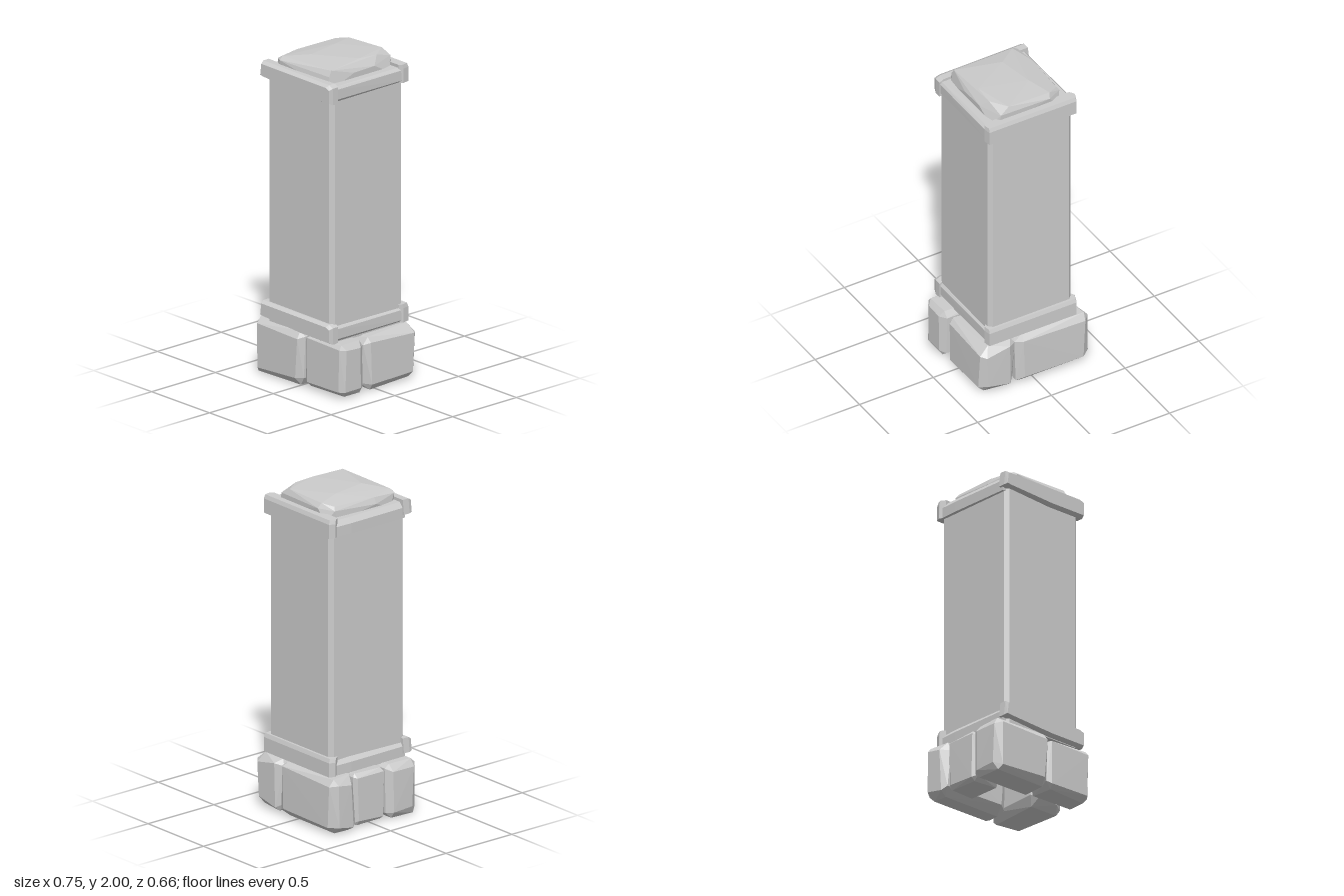
import * as THREE from 'three';
import { ConvexGeometry } from 'three/addons/geometries/ConvexGeometry.js';

const material = new THREE.MeshStandardMaterial({ color: 0xcccccc, flatShading: true });

function seeded(seed) {
  let s = seed * 7919 + 13;
  return () => (s = (s * 16807) % 2147483647) / 2147483647;
}

function hull(name, points) {
  const mesh = new THREE.Mesh(new ConvexGeometry(points.map((p) => new THREE.Vector3(...p))), material);
  mesh.name = name;
  return mesh;
}

// Rough stone: a box whose corners are cut unevenly, three points per corner
function stone(name, min, max, cut, seed) {
  const rnd = seeded(seed);
  const points = [];
  for (let corner = 0; corner < 8; corner++) {
    for (let flat = 0; flat < 3; flat++) {
      points.push([0, 1, 2].map((axis) => {
        const high = (corner >> axis) & 1;
        const inset = axis === flat ? cut * 0.12 * rnd() : cut * (0.55 + 0.75 * rnd());
        return high ? max[axis] - inset : min[axis] + inset;
      }));
    }
  }
  return hull(name, points);
}

// Four chipped slabs framing the shaft; y = 0 is the underside of the frame
function slabFrame(name, y) {
  const group = new THREE.Group();
  group.name = name;
  // Front slab: outline with a slanting underside, bevelled toward the face
  const outline = [[-0.31, 0.035], [-0.3, 0.125], [0.27, 0.12], [0.3, 0.105], [0.3, 0.004], [0.05, 0.005], [-0.28, 0.03]];
  const front = [];
  for (const [x, h] of outline) {
    front.push([x, h, 0.262], [x, h, 0.305]);
    front.push([x * 0.975, 0.06 + (h - 0.06) * 0.78, 0.328]);
  }
  group.add(hull('frontSlab', front));
  // Back slab with blunt pointed ends
  const back = [];
  for (const [x, z] of [[-0.31, -0.26], [-0.295, -0.295], [0.295, -0.293], [0.302, -0.25], [0.285, -0.232], [-0.29, -0.23]]) {
    back.push([x, 0.012, z], [x * 0.99, 0.124, z * 0.97], [x, 0.1, z]);
  }
  group.add(hull('backSlab', back));
  // Side slabs
  group.add(stone('rightSlab', [0.2, 0.01, -0.26], [0.294, 0.105, 0.29], 0.014, 5));
  const side = [];
  for (const [z, out] of [[-0.24, 0.3], [-0.13, 0.303], [0.1, 0.285], [0.28, 0.297]]) {
    side.push([-out, 0.012, z], [-out, 0.075, z], [-out + 0.025, 0.106, z], [-0.2, 0.106, z], [-0.2, 0.012, z]);
  }
  group.add(hull('leftSlab', side));
  group.position.y = y;
  return group;
}

export function createModel() {
  const model = new THREE.Group();
  model.name = 'stonePillar';

  // Base blocks, open in the middle underneath
  const base = new THREE.Group();
  base.name = 'base';
  const blocks = [
    ['frontLeftBlock', [-0.374, 0.005, 0.09], [0.036, 0.345, 0.325], 0.04, 3],
    ['frontRightBlock', [0.042, 0.015, 0.108], [0.374, 0.338, 0.302], 0.035, 8],
    ['backRightBlock', [0.115, 0.005, -0.32], [0.36, 0.338, 0.092], 0.05, 11],
    ['backLeftBlock', [-0.377, 0, -0.332], [0.125, 0.345, -0.138], 0.045, 17],
    ['sideBlock', [-0.352, 0.015, -0.142], [-0.15, 0.335, 0.095], 0.03, 23],
  ];
  for (const block of blocks) base.add(stone(...block));
  model.add(base);

  // Shaft with narrow chamfered edges
  const w = 0.281, d = 0.283, c = 0.024;
  const shape = new THREE.Shape([
    [-w + c, -d], [w - c, -d], [w, -d + c], [w, d - c],
    [w - c, d], [-w + c, d], [-w, d - c], [-w, -d + c],
  ].map((p) => new THREE.Vector2(...p)));
  const shaftGeometry = new THREE.ExtrudeGeometry(shape, { depth: 1.54, bevelEnabled: false });
  shaftGeometry.rotateX(-Math.PI / 2);
  const shaft = new THREE.Mesh(shaftGeometry, material);
  shaft.name = 'shaft';
  shaft.position.set(0, 0.33, 0.012);
  model.add(shaft);

  // Matching frames at the foot and the head of the shaft
  model.add(slabFrame('lowerFrame', 0.33), slabFrame('upperFrame', 1.805));

  // Cap stone: uneven flat top above sloping edges
  model.add(hull('cap', [
    // lower outline
    [-0.24, 1.88, -0.18], [-0.2, 1.88, -0.24], [0.2, 1.88, -0.245], [0.235, 1.88, -0.2],
    [0.235, 1.88, 0.24], [0.215, 1.88, 0.275], [-0.2, 1.88, 0.275], [-0.24, 1.88, 0.22],
    // rim
    [-0.252, 1.93, 0.1], [-0.235, 1.95, -0.2], [-0.14, 1.955, -0.25], [0.19, 1.96, -0.248],
    [0.237, 1.945, -0.08], [0.237, 1.94, 0.08], [0.22, 1.95, 0.26], [-0.185, 1.955, 0.28], [-0.225, 1.955, 0.26],
    // top
    [-0.235, 1.968, 0.1], [-0.22, 1.972, -0.19], [-0.15, 1.985, -0.23], [0.13, 1.995, -0.235],
    [0.2, 1.993, -0.13], [0.195, 2, 0], [0.215, 1.985, 0.24], [-0.06, 1.994, 0.15], [-0.19, 1.974, 0.255], [-0.1, 1.995, -0.08],
  ]));

  return model;
}
